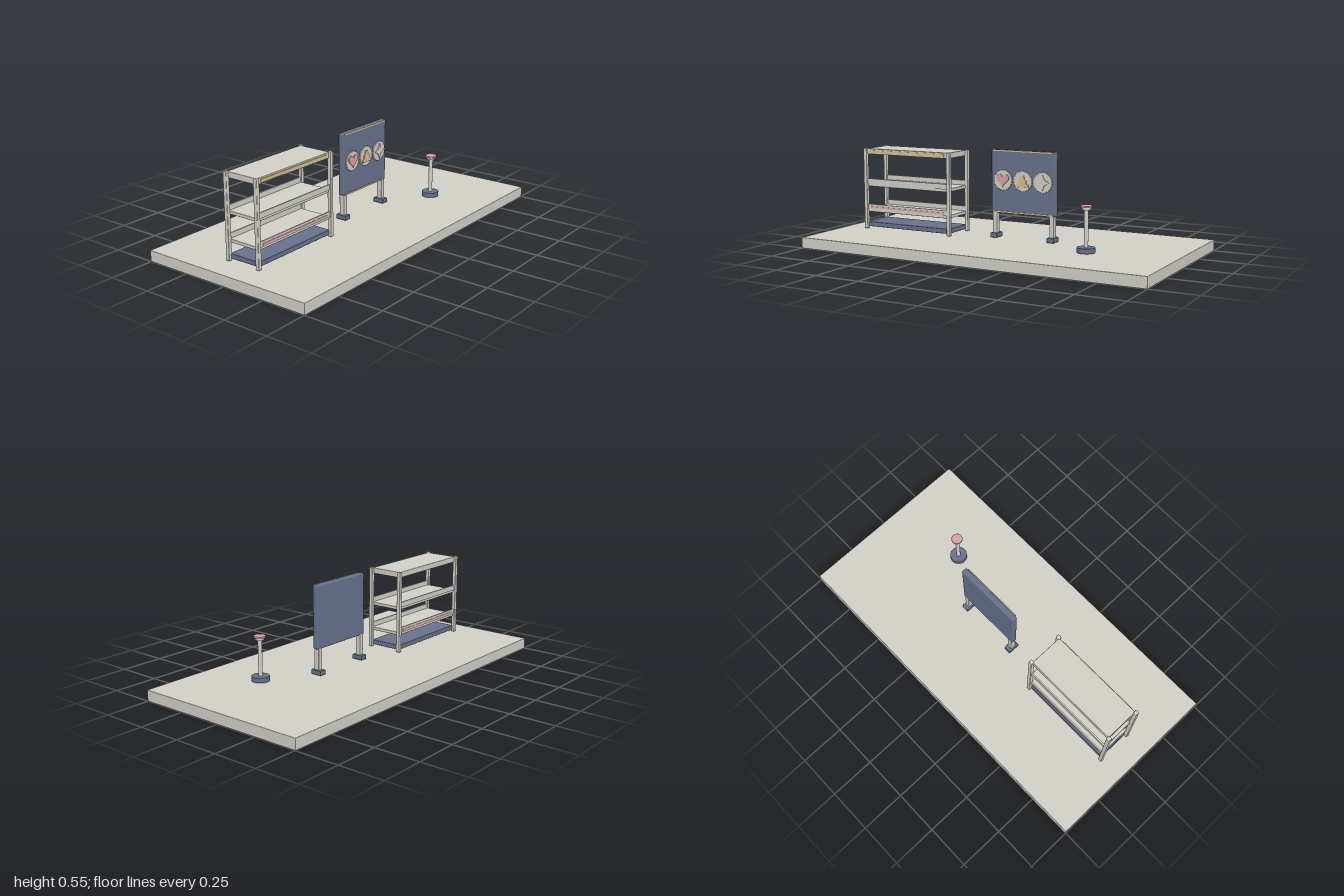
import * as THREE from 'three';
import { RoundedBoxGeometry } from 'three/addons/geometries/RoundedBoxGeometry.js';

const paint = (name, color) => {
  const m = new THREE.MeshStandardMaterial({ color });
  m.name = name;
  return m;
};

export function createModel() {
  const cream = paint('warm cream', 0xd0cec5);
  const blue = paint('slate blue', 0x66718a);
  const pink = paint('dusty pink', 0xd8a0ac);
  const gold = paint('pale gold', 0xd6bd8c);

  const group = (name, parent) => {
    const g = new THREE.Group();
    g.name = name;
    parent.add(g);
    return g;
  };
  const add = (parent, name, geometry, material, x, y, z) => {
    const mesh = new THREE.Mesh(geometry, material);
    mesh.name = name;
    mesh.position.set(x, y, z);
    parent.add(mesh);
    return mesh;
  };
  // Box given by its extents on each axis, optionally with softened edges
  const box = (parent, name, material, [x0, x1], [y0, y1], [z0, z1], r = 0) => {
    const s = [x1 - x0, y1 - y0, z1 - z0];
    const geo = r ? new RoundedBoxGeometry(...s, 2, r) : new THREE.BoxGeometry(...s);
    return add(parent, name, geo, material, (x0 + x1) / 2, (y0 + y1) / 2, (z0 + z1) / 2);
  };

  const model = new THREE.Group();
  model.name = 'displaySet';
  box(model, 'floorSlab', cream, [-1, 1], [0, 0.06], [-0.503, 0.503], 0.002);

  // Shelf rack
  const rack = group('shelfRack', model);
  const left = -0.855, right = -0.305;
  for (const x of [left, right]) for (const z of [-0.096, 0.098])
    box(rack, 'rackPost', cream, [x - 0.011, x + 0.011], [0.062, 0.522], [z - 0.011, z + 0.011], 0.004);
  const span = [left + 0.005, right - 0.005];
  box(rack, 'bottomShelf', blue, span, [0.072, 0.099], [-0.093, 0.095], 0.003);
  box(rack, 'topShelf', cream, span, [0.487, 0.519], [-0.095, 0.097], 0.003);
  for (const y of [0.157, 0.303]) {
    box(rack, 'middleShelf', cream, span, [y, y + 0.018], [-0.093, 0.095], 0.003);
    for (const z of [-0.096, 0.098])
      box(rack, 'shelfLip', cream, span, [y + 0.016, y + 0.045], [z - 0.004, z + 0.004]);
  }
  const strip = [left + 0.03, right - 0.03];
  box(rack, 'topShelfStrip', gold, strip, [0.494, 0.511], [0.097, 0.101]);
  for (const z of [-0.1, 0.102])
    box(rack, 'shelfStrip', pink, strip, [0.18, 0.19], [z - 0.002, z + 0.002]);

  // Standing board
  const board = group('standingBoard', model);
  box(board, 'boardPanel', blue, [-0.088, 0.296], [0.203, 0.545], [-0.021, 0.012], 0.007);
  for (const x of [-0.067, 0.275]) {
    box(board, 'boardLeg', cream, [x - 0.013, x + 0.013], [0.085, 0.21], [-0.02, 0.011], 0.003);
    box(board, 'boardFoot', blue, [x - 0.021, x + 0.021], [0.064, 0.09], [-0.038, 0.027], 0.004);
  }
  for (const y of [0.206, 0.54])
    box(board, 'boardTrim', gold, [-0.075, 0.283], [y - 0.004, y + 0.004], [0.011, 0.016]);

  // Scalloped badges, each with a raised motif
  const plate = (points, depth, bevel) => new THREE.ExtrudeGeometry(new THREE.Shape(points), {
    depth, bevelEnabled: bevel > 0, bevelThickness: bevel, bevelSize: bevel, bevelOffset: -bevel, bevelSegments: 2,
  });
  const ring = (count, radius) => Array.from({ length: count }, (_, i) => {
    const a = (i / count) * Math.PI * 2;
    return new THREE.Vector2(Math.cos(a), Math.sin(a)).multiplyScalar(radius(a, i));
  });
  const heart = Array.from({ length: 32 }, (_, i) => {
    const t = -(i / 32) * Math.PI * 2;
    return new THREE.Vector2(
      0.0024 * 16 * Math.sin(t) ** 3,
      0.0024 * (13 * Math.cos(t) - 5 * Math.cos(2 * t) - 2 * Math.cos(3 * t) - Math.cos(4 * t)) + 0.004);
  });
  const half = [[0.037, -0.032], [0.037, -0.018], [0.025, -0.012], [0.023, 0.006], [0.013, 0.012], [0.01, 0.032]];
  const tiers = [...half, ...half.map(([x, y]) => [-x, y]).reverse()].map((p) => new THREE.Vector2(...p));
  const star = ring(8, (a, i) => (i % 2 ? 0.02 : 0.043));
  const scallop = ring(96, (a) => 0.055 + 0.0018 * Math.cos(a * 20));
  const motifs = [['heart', heart, pink], ['tier', tiers, gold], ['star', star, cream]];
  motifs.forEach(([name, points, material], i) => {
    const badge = group(name + 'Badge', board);
    badge.position.set(-0.013 + i * 0.119, 0.381, 0.012);
    add(badge, 'badgeDisc', plate(scallop, 0.003, 0.003), cream, 0, 0, 0.002);
    add(badge, name + 'Motif', plate(points, 0.004, 0.001), material, 0, 0, 0.008);
  });

  // Small pedestal
  const stand = group('pedestal', model);
  stand.position.set(0.54, 0, 0.157);
  const turned = (name, material, profile) => add(stand, name,
    new THREE.LatheGeometry(profile.map((p) => new THREE.Vector2(...p)), 32), material, 0, 0, 0);
  // Flat-edged round parts
  const disc = (name, material, r, y0, y1) =>
    add(stand, name, new THREE.CylinderGeometry(r, r, y1 - y0, 32), material, 0, (y0 + y1) / 2, 0);
  disc('pedestalBase', blue, 0.047, 0.064, 0.09);
  disc('pedestalPole', cream, 0.011, 0.088, 0.285);
  disc('pedestalCollar', cream, 0.023, 0.282, 0.295);
  turned('pedestalCap', pink, [[0, 0.294], [0.029, 0.294], [0.031, 0.296], [0.031, 0.302], [0.029, 0.305], [0, 0.305]]);

  return model;
}
